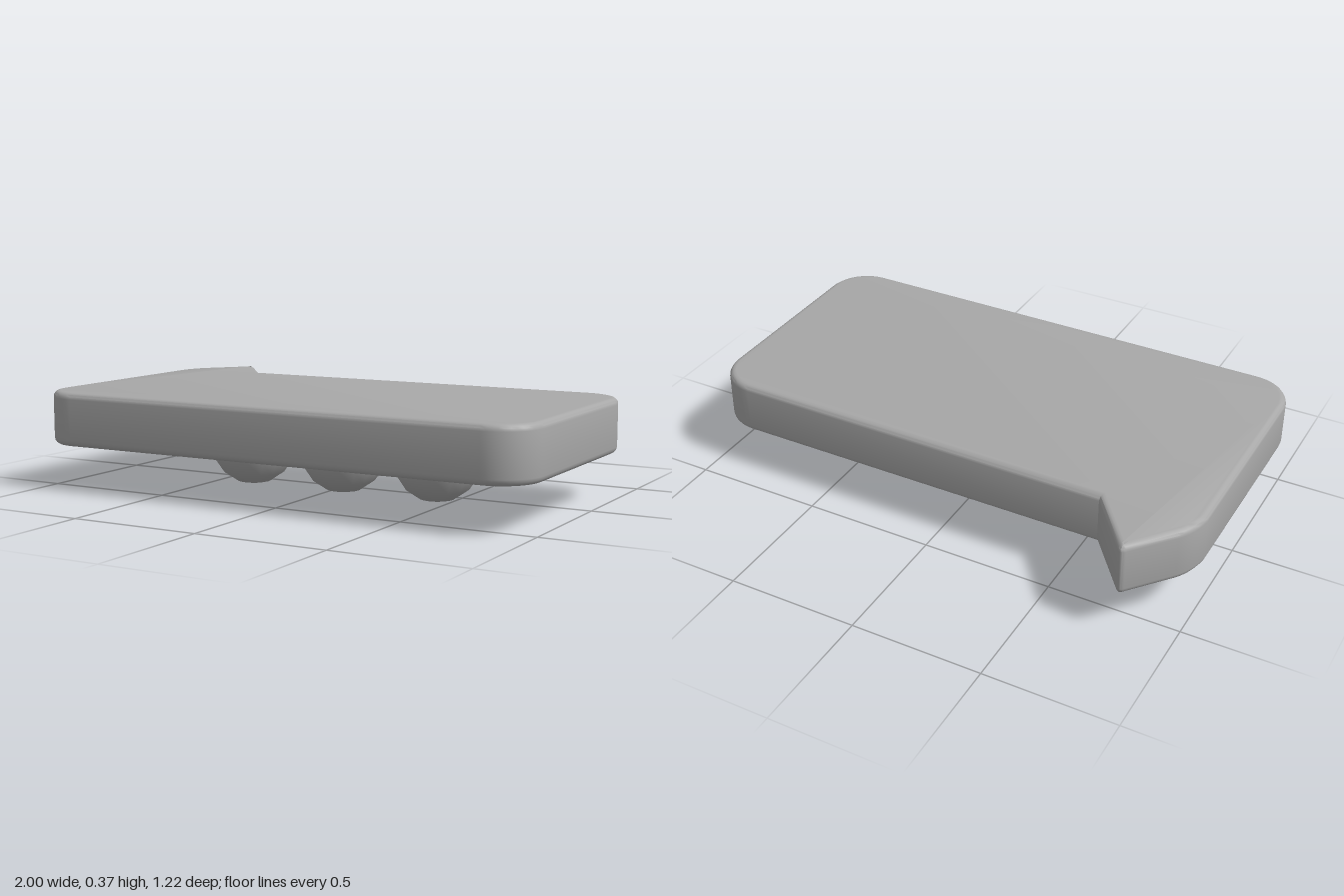
import * as THREE from 'three';
import { toCreasedNormals } from 'three/addons/utils/BufferGeometryUtils.js';

export function createModel() {
  const group = new THREE.Group();
  const grey = new THREE.MeshStandardMaterial({ color: 0xa8a8a8 });
  grey.name = 'plain grey';

  // Speech bubble outline, drawn with shape y as model z
  const front = 0.61, back = -0.39, r = 0.16;
  const outline = new THREE.Shape();
  outline.moveTo(-1 + r, front);
  outline.absarc(-1 + r, front - r, r, Math.PI / 2, Math.PI, false);
  outline.lineTo(-1, -0.32);
  outline.quadraticCurveTo(-0.99, -0.4, -0.95, -0.45);
  // pointed tail with a slightly blunted tip
  outline.lineTo(-0.825, -0.6);
  outline.quadraticCurveTo(-0.81, -0.62, -0.795, -0.6);
  outline.lineTo(-0.63, back);
  outline.lineTo(1 - r, back);
  outline.absarc(1 - r, back + r, r, -Math.PI / 2, 0, false);
  outline.lineTo(1, front - r);
  outline.absarc(1 - r, front - r, r, 0, Math.PI / 2, false);

  // Slab with softly rounded rims
  const top = 0.376, bottom = 0.172, bevel = 0.024;
  const slab = new THREE.ExtrudeGeometry(outline, {
    depth: top - bottom - 2 * bevel,
    bevelEnabled: true,
    bevelSize: bevel,
    bevelThickness: bevel,
    bevelOffset: -bevel,
    bevelSegments: 4,
    curveSegments: 6,
  });
  slab.rotateX(Math.PI / 2);
  slab.translate(0, top - bevel, 0);
  const bubble = new THREE.Mesh(toCreasedNormals(slab, 0.6), grey);
  bubble.name = 'speechBubble';
  group.add(bubble);

  // Three dots half sunk into the underside
  const dotGeometry = new THREE.SphereGeometry(0.167, 16, 8);
  [-0.34, 0.06, 0.45].forEach((x, i) => {
    const dot = new THREE.Mesh(dotGeometry, grey);
    dot.name = 'dot' + (i + 1);
    dot.position.set(x, 0.169, 0.113);
    group.add(dot);
  });

  return group;
}
